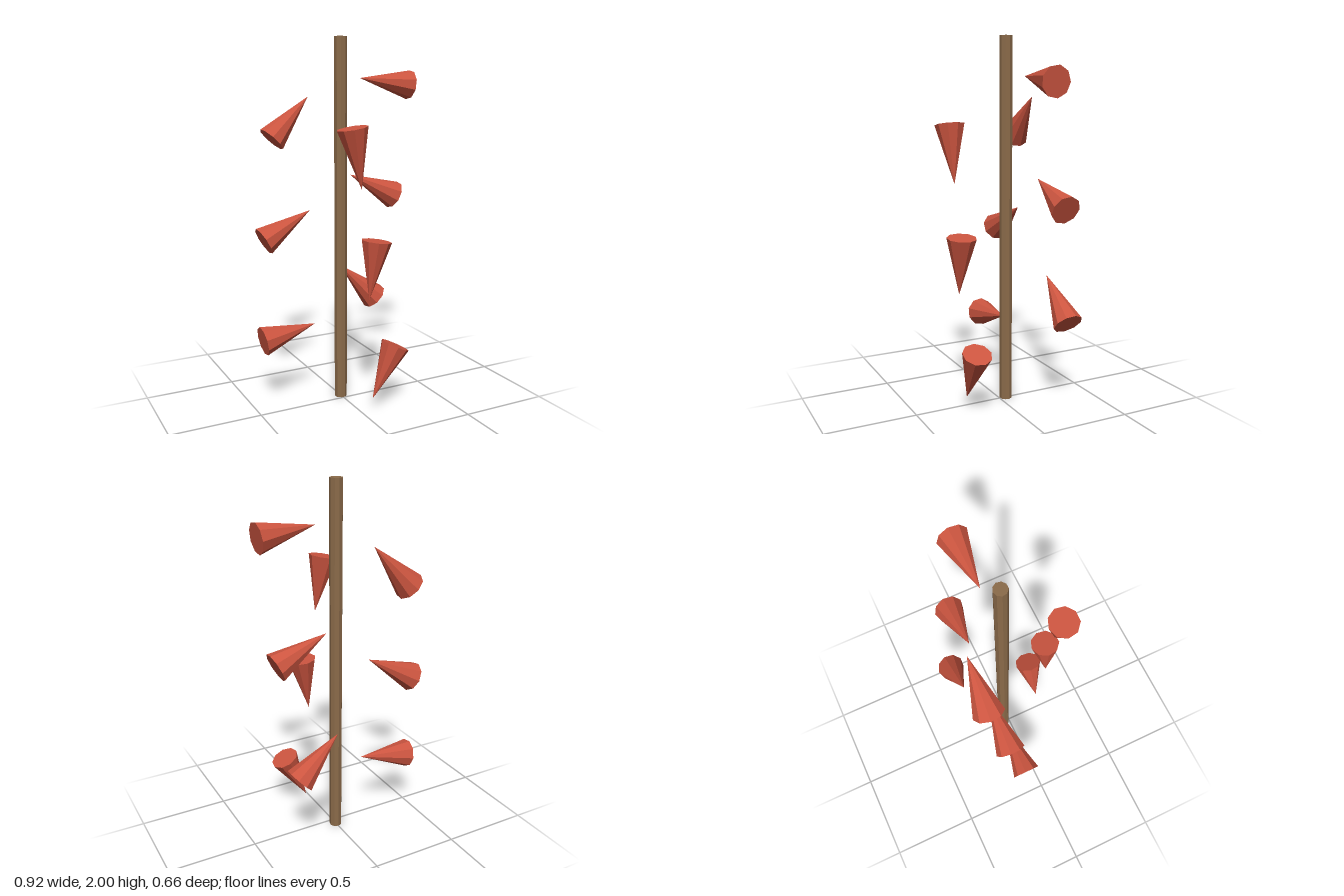
import * as THREE from 'three';

const SIDES = 9;
const CONE_RADIUS = 0.081;
const CONE_LENGTH = 0.315;

// Each cone: tip x, tip y, base centre x, base centre y, shared z
const CONES = [
  [0.06, 0.075, 0.197, 0.358, 0.23],
  [-0.133, 0.435, -0.446, 0.38, -0.092],
  [0.1, 0.71, 0.327, 0.493, -0.241],
  [0.021, 0.643, 0.062, 0.955, 0.253],
  [-0.121, 1.066, -0.397, 0.915, -0.178],
  [0.126, 1.252, 0.41, 1.119, -0.165],
  [-0.026, 1.23, -0.081, 1.539, 0.253],
  [-0.095, 1.687, -0.312, 1.459, -0.251],
  [0.137, 1.787, 0.45, 1.751, -0.076],
];

export function createModel() {
  const model = new THREE.Group();
  const wood = new THREE.MeshStandardMaterial({ color: 0x8b6b4a, flatShading: true });
  const red = new THREE.MeshStandardMaterial({ color: 0xcc5540, flatShading: true });

  // Upright pole, slightly behind the centre
  const pole = new THREE.Mesh(
    new THREE.CylinderGeometry(0.035, 0.035, 2, SIDES, 1, false, Math.PI), wood);
  pole.name = 'pole';
  pole.position.set(0, 1, -0.038);
  model.add(pole);

  // Loose cones spiralling around the pole, tips pointing inward
  const coneGeometry = new THREE.ConeGeometry(CONE_RADIUS, CONE_LENGTH, SIDES, 1, false, Math.PI);
  CONES.forEach(([tipX, tipY, baseX, baseY, z], i) => {
    const cone = new THREE.Mesh(coneGeometry, red);
    cone.name = `cone${i + 1}`;
    cone.position.set((tipX + baseX) / 2, (tipY + baseY) / 2, z);
    cone.rotation.z = Math.atan2(baseX - tipX, tipY - baseY);
    model.add(cone);
  });

  return model;
}
